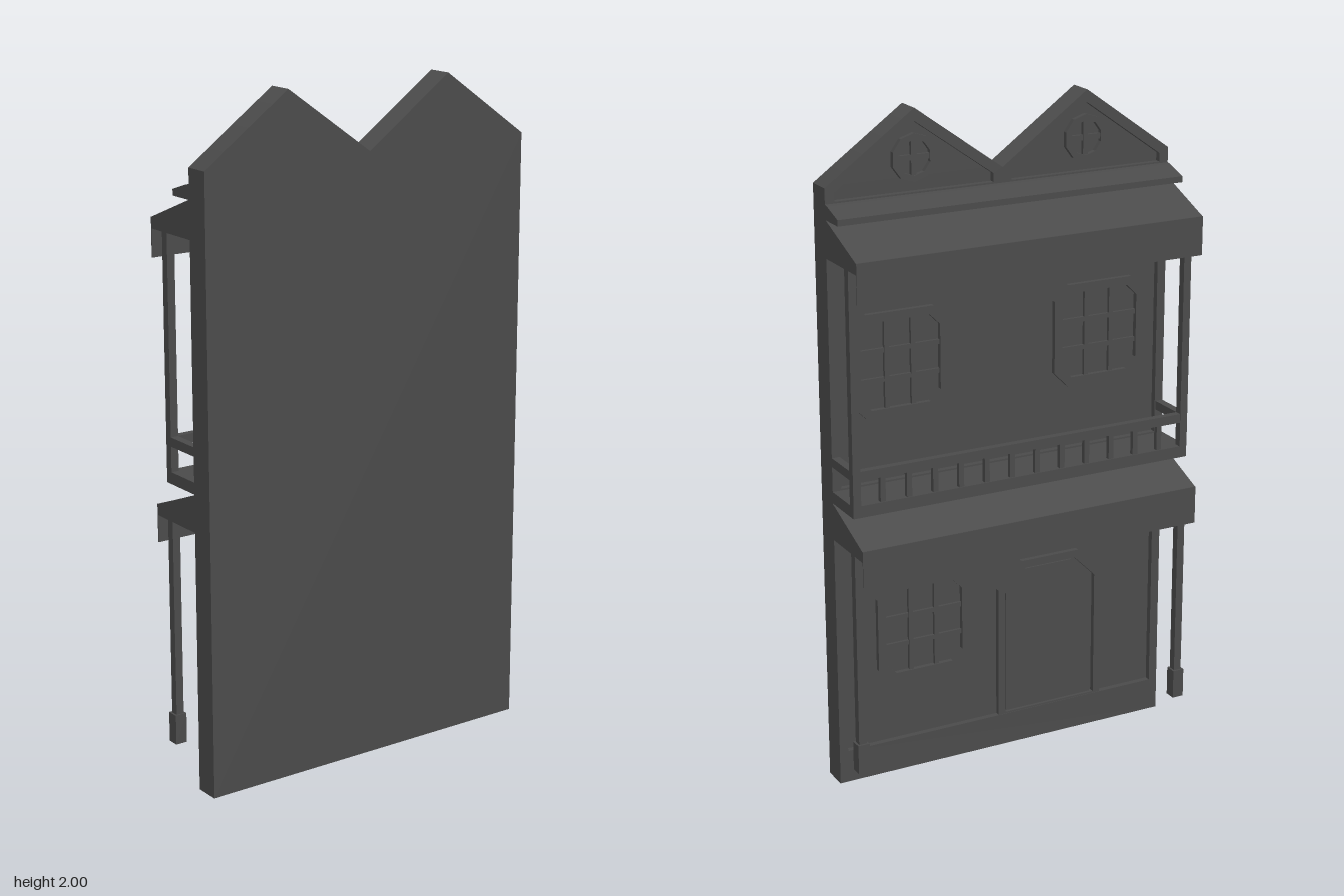
import * as THREE from 'three';

const material = new THREE.MeshStandardMaterial({ color: 0x4a4a4a });

export function createModel() {
  const root = new THREE.Group();

  const add = (name, geometry, parent = root) => {
    const mesh = new THREE.Mesh(geometry, material);
    mesh.name = name;
    parent.add(mesh);
    return mesh;
  };
  const group = (name) => {
    const g = new THREE.Group();
    g.name = name;
    root.add(g);
    return g;
  };
  // Box given by its lower and upper limits
  const box = (name, [x0, x1], [y0, y1], [z0, z1], parent) => {
    const mesh = add(name, new THREE.BoxGeometry(x1 - x0, y1 - y0, z1 - z0), parent);
    mesh.position.set((x0 + x1) / 2, (y0 + y1) / 2, (z0 + z1) / 2);
  };
  const vec = (points) => points.map(([x, y]) => new THREE.Vector2(x, y));
  // Flat outline with holes, extruded from z0 to z1
  const plate = (name, outline, holes, z0, z1, parent) => {
    const shape = new THREE.Shape(vec(outline));
    for (const h of holes) shape.holes.push(new THREE.Path(vec(h)));
    const geometry = new THREE.ExtrudeGeometry(shape, { depth: z1 - z0, bevelEnabled: false });
    return add(name, geometry.translate(0, 0, z0), parent);
  };
  // Side profile in (z, y), extruded across the whole width
  const across = (name, profile, half, parent) => {
    const shape = new THREE.Shape(vec(profile.map(([z, y]) => [-z, y])));
    const geometry = new THREE.ExtrudeGeometry(shape, { depth: half * 2, bevelEnabled: false });
    add(name, geometry.translate(0, 0, -half).rotateY(Math.PI / 2), parent);
  };
  const rect = (x0, x1, y0, y1) => [[x0, y0], [x1, y0], [x1, y1], [x0, y1]];
  // Rectangle with cut corners; bottom = 0 keeps the lower corners square
  const chamfered = (x0, x1, y0, y1, top, bottom = top) => [
    [x0 + bottom, y0], [x1 - bottom, y0], [x1, y0 + bottom], [x1, y1 - top],
    [x1 - top, y1], [x0 + top, y1], [x0, y1 - top], [x0, y0 + bottom],
  ].filter((p, i) => bottom > 0 || (i !== 2 && i !== 7));
  const ring = (cx, cy, r, n = 10) => Array.from({ length: n }, (_, i) => {
    const a = (i + 0.5) * Math.PI * 2 / n;
    return [cx + r * Math.cos(a), cy + r * Math.sin(a)];
  });

  const W = 0.547, FRONT = 0.06, PANEL = 0.078, BACK = 0.137;

  // Wall slab and the raised surround with recessed panels
  const outline = [[-W, 0], [W, 0], [W, 1.805], [W / 2, 2], [0, 1.805], [-W / 2, 2], [-W, 1.805]];
  const gablePanel = (cx) => [
    [cx - 0.245, 1.765], [cx + 0.245, 1.765], [cx + 0.245, 1.79], [cx, 1.963], [cx - 0.245, 1.79],
  ];
  const wall = plate('wall', outline, [], PANEL, BACK);
  const surround = plate('wallSurround', outline, [
    rect(-0.52, 0.52, 0.1, 0.76),
    rect(-0.52, 0.52, 0.93, 1.58),
    gablePanel(W / 2),
    gablePanel(-W / 2),
  ], FRONT, PANEL);

  // Smooth shading across the ridges and the valley of the gables
  for (const { geometry } of [wall, surround]) {
    const { position, normal } = geometry.attributes;
    for (let i = 0; i < position.count; i++) {
      const onRoof = position.getY(i) > 1.8 && normal.getY(i) > 0.5;
      if (onRoof && Math.abs(position.getX(i)) < 0.5) normal.setXYZ(i, 0, 1, 0);
    }
  }

  // Windows with chamfered frames and glazing bars
  const addWindow = (name, cx, y0, y1) => {
    const g = group(name);
    const x0 = cx - 0.151, x1 = cx + 0.151, b = 0.026;
    plate('windowFrame', chamfered(x0, x1, y0, y1, 0.045),
      [chamfered(x0 + b, x1 - b, y0 + b, y1 - b, 0.032)], 0.063, PANEL, g);
    for (const t of [1 / 3, 2 / 3]) {
      const x = x0 + b + (x1 - x0 - 2 * b) * t;
      const y = y0 + b + (y1 - y0 - 2 * b) * t;
      box('verticalBar', [x - 0.007, x + 0.007], [y0 + b, y1 - b], [0.068, PANEL], g);
      box('horizontalBar', [x0 + b, x1 - b], [y - 0.007, y + 0.007], [0.069, PANEL], g);
    }
  };
  addWindow('lowerWindow', 0.262, 0.29, 0.605);
  for (const s of [-1, 1]) addWindow('upperWindow', s * 0.325, 1.12, 1.43);

  // Door with a chamfered head
  const door = group('door');
  plate('doorFrame', chamfered(-0.34, 0.015, 0.1, 0.592, 0.08, 0),
    [chamfered(-0.317, -0.008, 0.105, 0.569, 0.07, 0)], 0.062, PANEL, door);
  plate('doorLeaf', chamfered(-0.309, -0.016, 0.1, 0.561, 0.067, 0), [], 0.072, PANEL, door);

  // Round gable windows
  for (const s of [-1, 1]) {
    const g = group('gableWindow');
    const cx = s * W / 2, cy = 1.86;
    plate('roundFrame', ring(cx, cy, 0.069), [ring(cx, cy, 0.051)], 0.063, PANEL, g);
    box('verticalBar', [cx - 0.008, cx + 0.008], [cy - 0.05, cy + 0.05], [0.067, PANEL], g);
    box('horizontalBar', [cx - 0.05, cx + 0.05], [cy - 0.008, cy + 0.008], [0.068, PANEL], g);
  }

  // Awnings with a thin hanging valance
  const awning = (name, y) => {
    const g = group(name);
    across('awningRoof', [[FRONT, y], [FRONT, y + 0.11], [-0.134, y + 0.033], [-0.134, y]], W, g);
    box('valance', [-W, W], [y - 0.082, y + 0.033], [-0.137, -0.134], g);
  };
  awning('upperAwning', 1.608);
  awning('lowerAwning', 0.778);
  across('ledge', [[FRONT, 1.717], [FRONT, 1.76], [0.045, 1.757], [-0.022, 1.735], [-0.022, 1.717]], W);

  // Balcony deck, rails and balusters
  const balcony = group('balcony');
  box('deck', [-W, W], [0.89, 0.925], [-0.08, FRONT], balcony);
  box('frontRail', [-W, W], [1, 1.027], [-0.08, -0.058], balcony);
  for (const s of [-1, 1]) {
    const x = s * 0.535;
    box('sideRail', [x - 0.012, x + 0.012], [1, 1.027], [-0.058, FRONT], balcony);
  }
  for (let i = 1; i < 13; i++) {
    const x = -0.535 + i * 1.07 / 13;
    box('baluster', [x - 0.008, x + 0.008], [0.925, 1], [-0.076, -0.062], balcony);
  }

  // Corner posts on both floors, the lower ones with block feet
  for (const s of [-1, 1]) {
    const x = s * 0.535, span = [x - 0.012, x + 0.012], depth = [-0.081, -0.057];
    box('upperPost', span, [0.925, 1.608], depth);
    box('lowerPost', span, [0.19, 0.778], depth);
    box('postFoot', [x - 0.018, x + 0.018], [0.1, 0.19], [-0.088, -0.052]);
  }

  return root;
}
